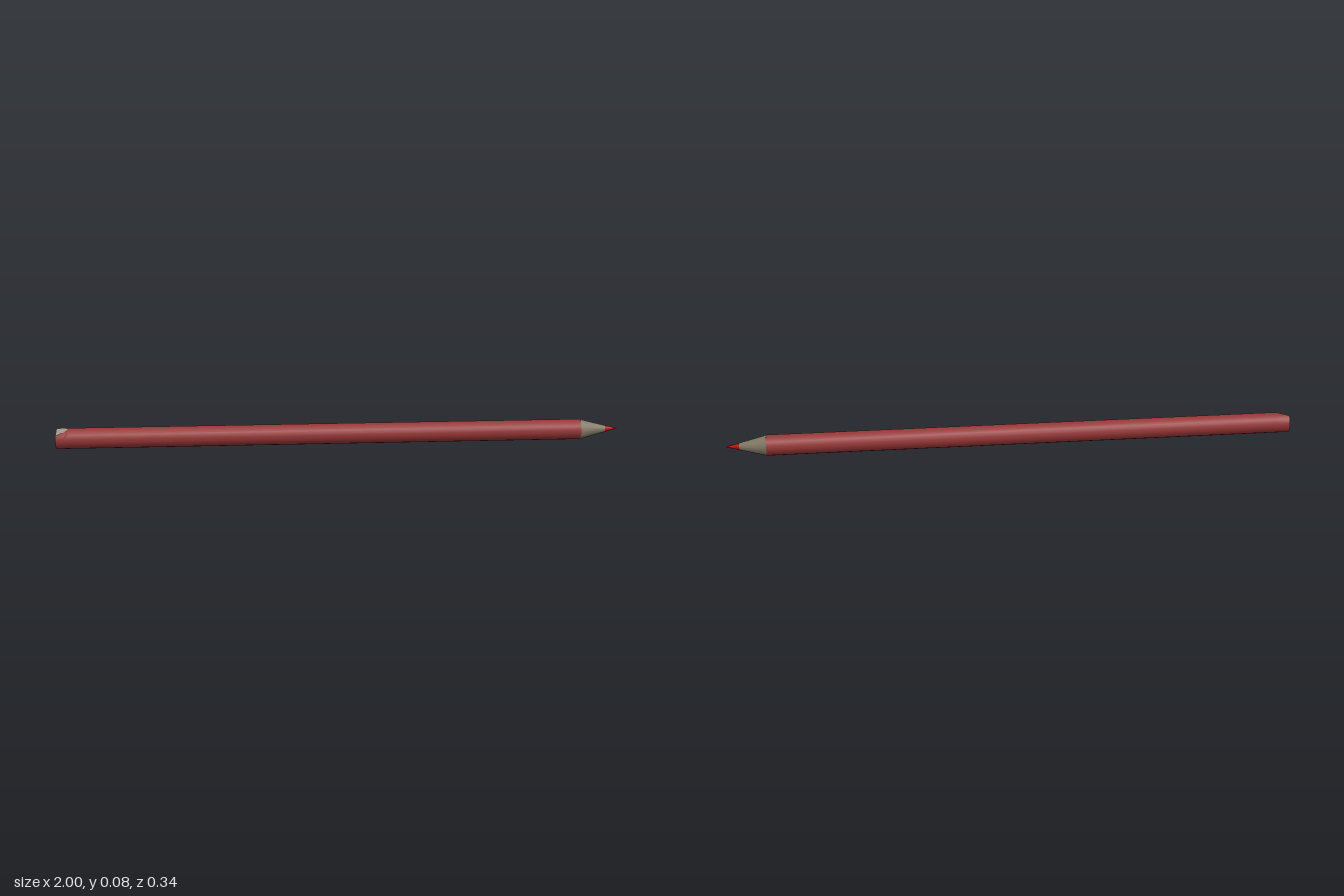
import * as THREE from 'three';

const R = 0.0368, SIDES = 16, BODY = 1.875, TIP = 1.969, LENGTH = 2.016;
const CUT = 0.042, CUT_TILT = 0.25; // slanted flat at the blunt end

const mat = (name, color) => new THREE.MeshStandardMaterial({ name, color });

function mesh(name, pos, nor, index, material) {
  const g = new THREE.BufferGeometry();
  g.setAttribute('position', new THREE.Float32BufferAttribute(pos, 3));
  g.setIndex(index);
  if (nor) g.setAttribute('normal', new THREE.Float32BufferAttribute(nor, 3));
  else g.computeVertexNormals();
  const m = new THREE.Mesh(g, material);
  m.name = name;
  return m;
}

// Cone section lying along x, from x0 to x1
function taper(name, x0, r0, x1, r1, material) {
  const g = new THREE.CylinderGeometry(r1, r0, x1 - x0, SIDES, 1, true);
  g.rotateZ(-Math.PI / 2).translate((x0 + x1) / 2, 0, 0);
  const m = new THREE.Mesh(g, material);
  m.name = name;
  return m;
}

export function createModel() {
  const paint = mat('redPaint', 0x963535);
  const wood = mat('bareWood', 0x807865);
  const lead = mat('redLead', 0xc00808);
  const flat = mat('paleFlat', 0xa89c94);

  // Cross-sections: a circle with its top sliced off near the blunt end
  const stations = [0, 0.01, 0.02, 0.03, CUT, BODY];
  const pos = [], nor = [], index = [], cutPos = [], cutIndex = [];
  const row = SIDES + 1;
  stations.forEach((s, i) => {
    const half = Math.acos(Math.min(1, 0.7 + 0.3 * s / CUT));
    for (let j = 0; j <= SIDES; j++) {
      const t = half + (2 * Math.PI - 2 * half) * j / SIDES + CUT_TILT;
      const c = Math.cos(t), n = Math.sin(t);
      pos.push(s, R * c, R * n);
      nor.push(0, c, n);
      if (s <= CUT && (j === 0 || j === SIDES)) cutPos.push(s, R * c, R * n);
      if (i < stations.length - 1 && j < SIDES) {
        const a = i * row + j;
        index.push(a, a + 1, a + row, a + 1, a + row + 1, a + row);
      }
    }
    // Strip across the slanted flat
    if (s < CUT) {
      const k = i * 2;
      cutIndex.push(k + 1, k, k + 3, k, k + 2, k + 3);
    }
  });

  // Blunt end face
  const endPos = [0, 0, 0, ...pos.slice(0, row * 3)], endIndex = [];
  for (let j = 0; j < row; j++) endIndex.push(0, 1 + (j + 1) % row, 1 + j);

  const pencil = new THREE.Group();
  pencil.name = 'pencil';
  pencil.add(
    mesh('body', pos, nor, index, paint),
    mesh('slantedFlat', cutPos, null, cutIndex, flat),
    mesh('endFace', endPos, null, endIndex, paint),
    taper('sharpenedWood', BODY, R, TIP, 0.0123, wood),
    taper('leadTip', TIP, 0.0123, LENGTH, 0.0005, lead)
  );
  // Lying at a slight angle
  pencil.rotation.set(0, 0.1455, -0.0045);
  pencil.position.set(-0.9946, 0.0453, 0.1365);

  const model = new THREE.Group();
  model.add(pencil);
  return model;
}
